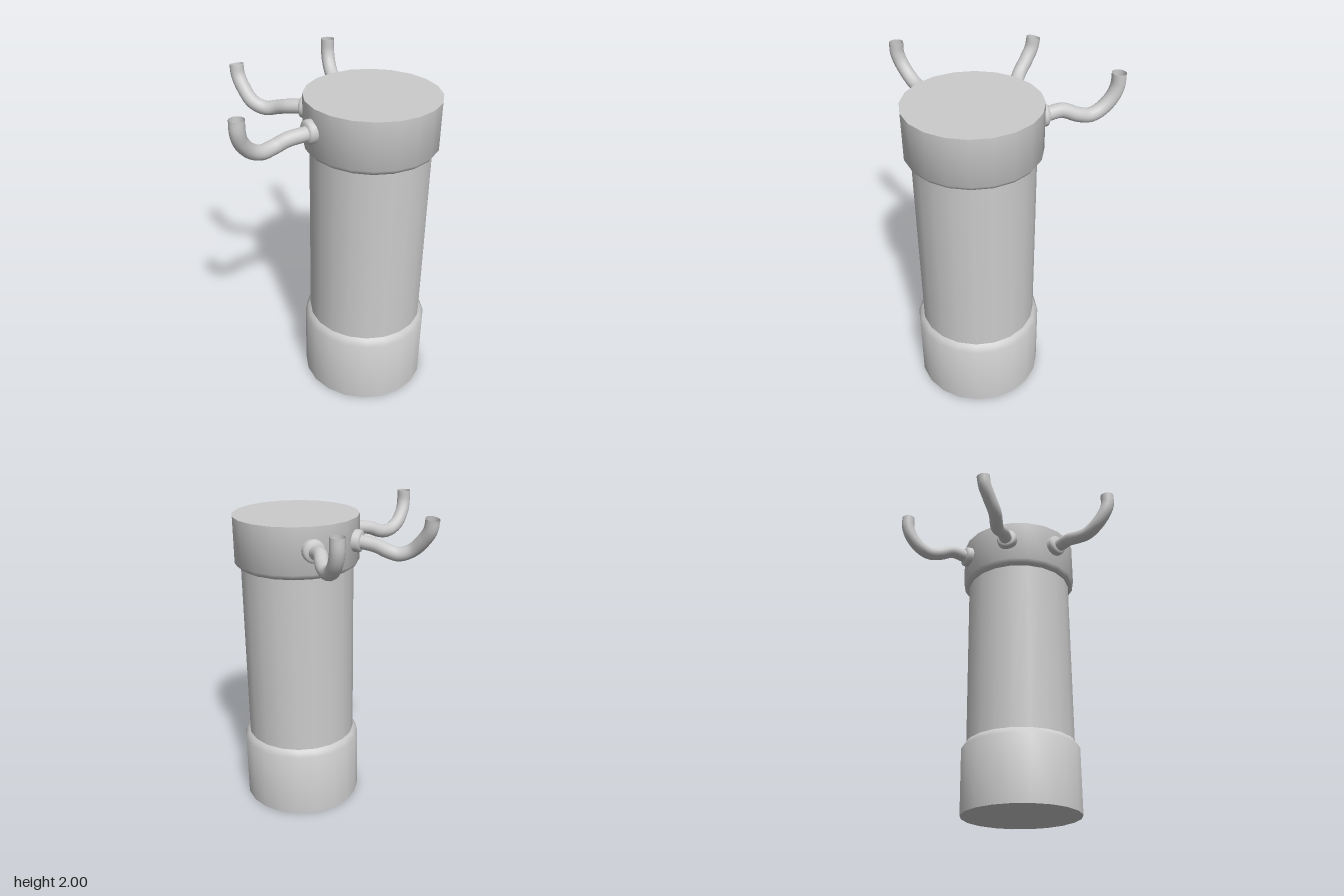
import * as THREE from 'three';
import { toCreasedNormals } from 'three/addons/utils/BufferGeometryUtils.js';

const CX = 0.23, CZ = 0.255, SIDES = 20;

export function createModel() {
  const group = new THREE.Group();
  const solid = new THREE.MeshStandardMaterial({ color: 0xcccccc });
  const open = new THREE.MeshStandardMaterial({ color: 0xcccccc, side: THREE.DoubleSide });

  const add = (name, geometry, material, parent = group) => {
    const mesh = new THREE.Mesh(geometry, material);
    mesh.name = name;
    parent.add(mesh);
    return mesh;
  };
  // Turned part from [radius, height] pairs, bottom to top
  const turned = (profile, sides) => toCreasedNormals(
    new THREE.LatheGeometry(profile.map(([r, y]) => new THREE.Vector2(r, y)), sides), 0.75);

  // Upright column: bevelled base, shaft and cap
  const column = new THREE.Group();
  column.name = 'column';
  column.position.set(CX, 0, CZ);
  group.add(column);
  add('base', turned([[0, 0], [0.39, 0], [0.39, 0.43], [0.372, 0.46], [0.357, 0.475], [0.3, 0.475]], SIDES), solid, column);
  add('shaft', new THREE.CylinderGeometry(0.357, 0.357, 1.3, SIDES, 1, true).translate(0, 1.05, 0), solid, column);
  add('cap', turned([[0.3, 1.63], [0.362, 1.63], [0.38, 1.642], [0.395, 1.665], [0.395, 1.95], [0, 1.95]], SIDES), solid, column);

  // Curved open pipes; collar angle is measured from -x towards -z
  const arms = [
    { name: 'backPipe', angle: 90, path: [
      [0.226, 1.807, -0.13], [0.224, 1.807, -0.18], [0.223, 1.816, -0.27], [0.238, 1.783, -0.36],
      [0.236, 1.765, -0.437], [0.23, 1.79, -0.51], [0.228, 1.855, -0.574], [0.228, 1.923, -0.602], [0.228, 2, -0.605]] },
    { name: 'cornerPipe', angle: 38, path: [
      [-0.075, 1.807, 0.015], [-0.112, 1.805, -0.017], [-0.178, 1.793, -0.07], [-0.237, 1.768, -0.135],
      [-0.292, 1.755, -0.17], [-0.36, 1.787, -0.213], [-0.402, 1.86, -0.275], [-0.422, 1.925, -0.315], [-0.426, 1.99, -0.328]] },
    { name: 'rightPipe', angle: -13, path: [
      [-0.155, 1.807, 0.355], [-0.204, 1.807, 0.367], [-0.3, 1.793, 0.376], [-0.373, 1.765, 0.383],
      [-0.452, 1.76, 0.42], [-0.52, 1.797, 0.452], [-0.57, 1.87, 0.487], [-0.585, 1.934, 0.505], [-0.585, 2, 0.505]] },
  ];
  const up = new THREE.Vector3(0, 1, 0);
  for (const { name, angle, path } of arms) {
    const arm = new THREE.Group();
    arm.name = name;
    group.add(arm);
    const curve = new THREE.CatmullRomCurve3(path.map(p => new THREE.Vector3(...p)));
    add('pipe', new THREE.TubeGeometry(curve, 40, 0.043, 16), open, arm);

    // Rounded collar where the pipe meets the cap
    const a = THREE.MathUtils.degToRad(angle);
    const out = new THREE.Vector3(-Math.cos(a), 0, -Math.sin(a));
    const collar = add('collar', turned([[0, 0], [0.069, 0], [0.069, 0.055], [0.065, 0.067], [0.056, 0.073], [0, 0.073]], 20), solid, arm);
    collar.quaternion.setFromUnitVectors(up, out);
    collar.position.set(CX, 1.81, CZ).addScaledVector(out, 0.36);
  }
  return group;
}
